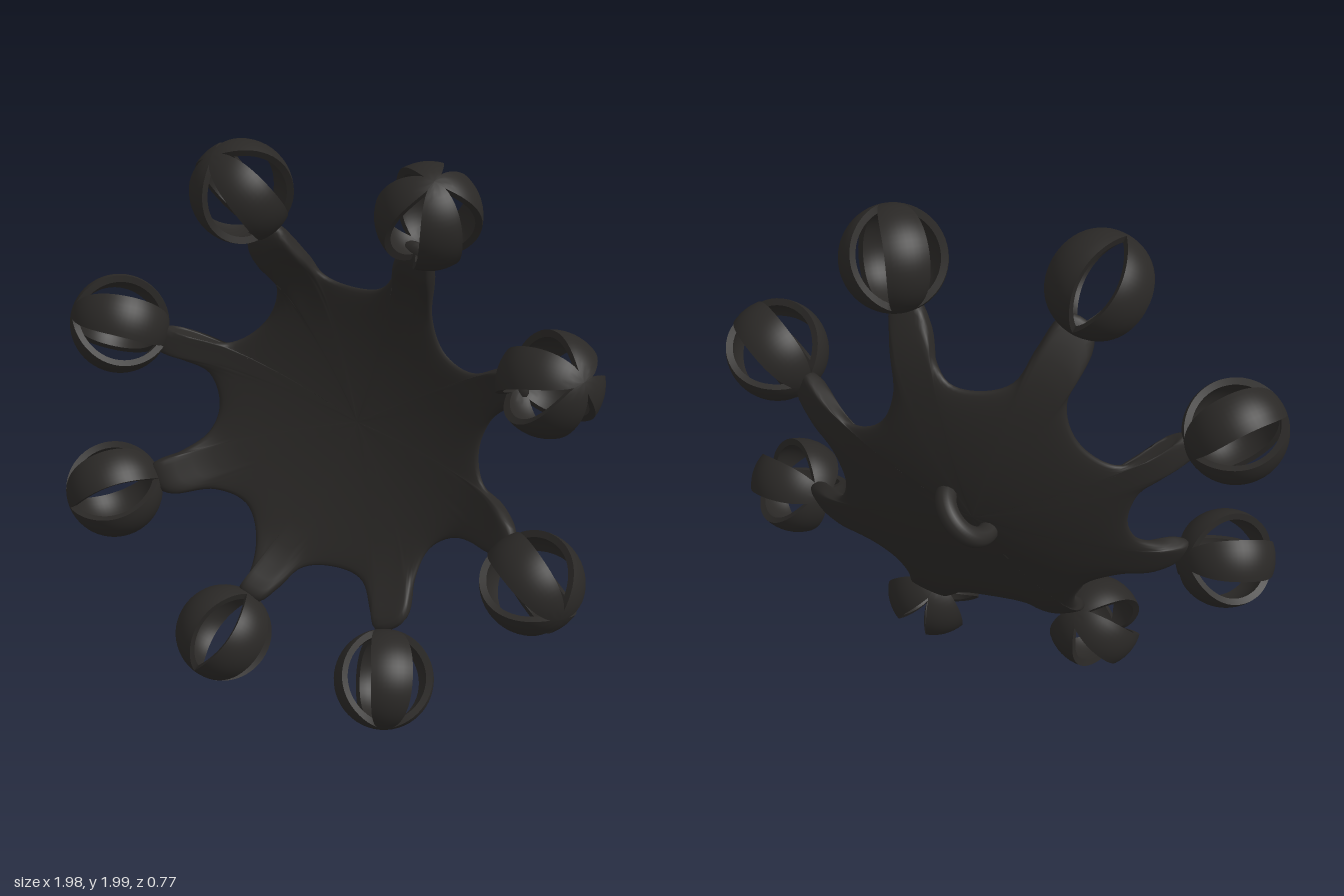
import * as THREE from 'three';
import { toCreasedNormals } from 'three/addons/utils/BufferGeometryUtils.js';

const V = (x, y, z = 0) => new THREE.Vector3(x, y, z);
const CENTRE = V(0, 0.95);
const BELL_R = 0.178;

// shallow tilted dome: the back face of the plate and arms
const APEX = { x: 0.17, y: 1.25, z: -0.298, a: 0.33 };
const domeZ = (x, y) => APEX.z + APEX.a * ((x - APEX.x) ** 2 + (y - APEX.y) ** 2);
const domeNormal = (x, y) =>
  V(-2 * APEX.a * (x - APEX.x), -2 * APEX.a * (y - APEX.y), 1).normalize();

// bell centre, then the edge of the U-shaped gap that follows it, clockwise
const SECTORS = [
  { bell: [-0.36, 1.82, -0.06], gap: [[-0.2, 1.62], [-0.14, 1.51], [-0.04, 1.47], [0.07, 1.48], [0.13, 1.55], [0.17, 1.66]] },
  { bell: [0.31, 1.825, -0.13], gap: [[0.31, 1.62], [0.27, 1.41], [0.32, 1.28], [0.43, 1.235], [0.6, 1.32]] },
  { bell: [0.785, 1.35, -0.08], gap: [[0.65, 1.2], [0.53, 1.09], [0.49, 0.96], [0.53, 0.85], [0.66, 0.8]] },
  { bell: [0.815, 0.67, 0.045], gap: [[0.64, 0.65], [0.45, 0.64], [0.355, 0.57], [0.33, 0.46], [0.35, 0.35]] },
  { bell: [0.33, 0.19, 0.175], gap: [[0.2, 0.32], [0.12, 0.41], [0, 0.43], [-0.12, 0.405], [-0.18, 0.33]] },
  { bell: [-0.32, 0.195, 0.205], gap: [[-0.3, 0.36], [-0.31, 0.49], [-0.37, 0.6], [-0.49, 0.645], [-0.63, 0.63]] },
  { bell: [-0.8, 0.66, 0.175], gap: [[-0.63, 0.78], [-0.54, 0.85], [-0.51, 0.95], [-0.55, 1.08], [-0.65, 1.15]] },
  { bell: [-0.81, 1.285, 0.065], gap: [[-0.65, 1.26], [-0.49, 1.2], [-0.36, 1.29], [-0.31, 1.44], [-0.38, 1.62]] },
];

// skin a series of closed rings
function loft(rings) {
  const n = rings[0].length, index = [];
  for (let i = 0; i < rings.length - 1; i++)
    for (let j = 0; j < n; j++) {
      const a = i * n + j, b = i * n + ((j + 1) % n), c = a + n, d = b + n;
      index.push(a, c, b, b, c, d);
    }
  const g = new THREE.BufferGeometry().setFromPoints(rings.flat());
  g.setIndex(index);
  g.computeVertexNormals();
  return g;
}

// curved plate with eight arms and a rounded edge; thin body, thicker arms
function plateGeometry() {
  const pts = [];
  for (const { bell, gap } of SECTORS) {
    const b = V(bell[0], bell[1]);
    const dir = b.clone().sub(CENTRE).normalize();
    const across = V(dir.y, -dir.x);
    for (const s of [-0.045, 0.045])
      pts.push(b.clone().addScaledVector(dir, -0.11).addScaledVector(across, s));
    for (const [x, y] of gap) pts.push(V(x, y));
  }
  const outline = new THREE.CatmullRomCurve3(pts, true).getSpacedPoints(320).slice(0, -1);
  const steps = [0, 0.15, 0.3, 0.45, 0.6, 0.72, 0.82, 0.89, 0.94, 0.97, 0.99, 1];
  const ring = (t, side) => outline.map((p) => {
    const q = CENTRE.clone().lerp(p, t);
    const r = q.distanceTo(CENTRE);
    const half = 0.016 + 0.026 * THREE.MathUtils.smoothstep(r, 0.5, 0.72);
    const lift = 0.025 * THREE.MathUtils.smoothstep(r, 0.6, 0.8);
    const h = lift + half * (1 + side * Math.sqrt(1 - t ** 14));
    q.z = domeZ(q.x, q.y);
    return q.addScaledVector(domeNormal(q.x, q.y), h);
  });
  return loft([
    ...steps.map((t) => ring(t, -1)),
    ...steps.slice(0, -1).reverse().map((t) => ring(t, 1)),
  ]);
}

// one of four spindle petals forming the hollow bell; +y is the tip
function petalGeometry() {
  const rows = 28, cols = 8, open = 0.28, close = 2.78, rings = [];
  for (let i = 0; i <= rows; i++) {
    const th = (Math.PI * i) / rows;
    const u = THREE.MathUtils.clamp((th - open) / (close - open), 0, 1);
    const half = Math.PI / 4 - 0.36 * Math.max(0, Math.sin(Math.PI * u)) ** 0.55;
    const at = (r, k) => {
      const ph = half * (2 * k / cols - 1);
      return V(r * Math.sin(th) * Math.sin(ph), r * Math.cos(th), r * Math.sin(th) * Math.cos(ph));
    };
    const ring = [];
    for (let k = 0; k <= cols; k++) ring.push(at(BELL_R, k));
    for (let k = cols; k >= 0; k--) ring.push(at(BELL_R - 0.024, k));
    rings.push(ring);
  }
  return toCreasedNormals(loft(rings), 0.9);
}

export function createModel() {
  const root = new THREE.Group();
  root.name = 'bellCluster';
  const iron = new THREE.MeshStandardMaterial({ color: 0x2a2826 });

  const plate = new THREE.Mesh(plateGeometry(), iron);
  plate.name = 'plateWithArms';
  root.add(plate);

  // slotted bells: each axis follows its arm and nods slightly forward
  const petalGeo = petalGeometry();
  for (const { bell: [x, y, z] } of SECTORS) {
    const bell = new THREE.Group();
    bell.name = 'bell';
    const dir = V(x, y).sub(CENTRE).normalize();
    const n = domeNormal(x, y);
    const slope = -(n.x * dir.x + n.y * dir.y) / n.z;
    const side = V(dir.y, -dir.x);
    const axis = V(dir.x, dir.y, slope + 0.1).normalize();
    bell.quaternion.setFromRotationMatrix(
      new THREE.Matrix4().makeBasis(side, axis, side.clone().cross(axis)));
    bell.position.set(x, y, z);
    for (let k = 0; k < 4; k++) {
      const petal = new THREE.Mesh(petalGeo, iron);
      petal.name = 'bellPetal';
      petal.rotation.y = Math.PI / 4 + (k * Math.PI) / 2;
      bell.add(petal);
    }
    root.add(bell);
  }

  // diagonal hanging loop on the back, ends buried in the plate
  const loopGeo = new THREE.TorusGeometry(0.1, 0.037, 12, 32, Math.PI);
  loopGeo.rotateX(-Math.PI / 2);
  loopGeo.rotateZ(Math.PI / 4);
  const loop = new THREE.Mesh(loopGeo, iron);
  loop.name = 'hangingLoop';
  loop.position.set(0.015, 0.975, -0.258);
  root.add(loop);

  return root;
}
